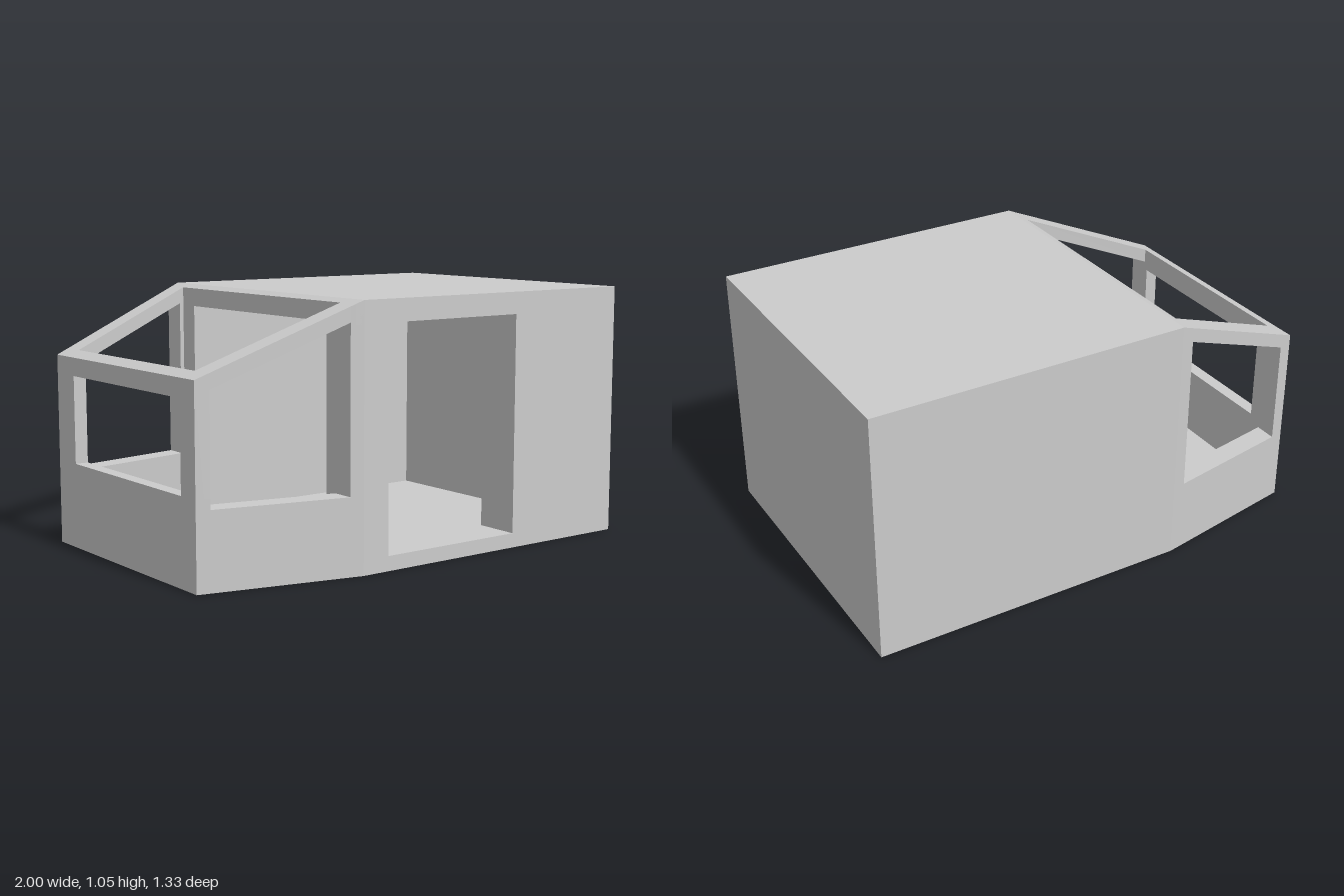
import * as THREE from 'three';
import { ConvexGeometry } from 'three/addons/geometries/ConvexGeometry.js';

const BEND = -0.345; // where the straight cabin turns into the tapered nose
const taper = (full, end) => (x) => x >= BEND ? full : THREE.MathUtils.mapLinear(x, BEND, -1, full, end);
const top = taper(1.05, 0.785);
const front = taper(0.665, 0.52);
const back = taper(-0.665, -0.54);
const frontIn = (x) => front(x) - 0.095;
const backIn = (x) => back(x) + 0.095;
const beam = (x) => top(x) - 0.06;

export function createModel() {
  const model = new THREE.Group();
  const material = new THREE.MeshStandardMaterial({ color: 0xcccccc, flatShading: true });
  const at = (v, x) => (typeof v === 'function' ? v(x) : v);

  // Solid between x0 and x1; heights and depths may be numbers or functions of x
  function piece(name, x0, x1, lo, hi, zA, zB) {
    const xs = x0 < BEND && BEND < x1 ? [x0, BEND, x1] : [x0, x1];
    const points = [];
    for (const x of xs)
      for (const y of [lo, hi])
        for (const z of [zA, zB]) points.push(new THREE.Vector3(x, at(y, x), at(z, x)));
    const mesh = new THREE.Mesh(new ConvexGeometry(points), material);
    mesh.name = name;
    model.add(mesh);
  }

  // Cabin shell with a doorway in the front wall
  piece('cabinFloor', -0.38, 1, 0, 0.06, back, front);
  piece('cabinRoof', -0.38, 1, 0.96, top, back, front);
  piece('cabinBackWall', -0.38, 1, 0, top, back, -0.475);
  piece('cabinEndWall', 0.81, 1, 0, top, back, front);
  piece('doorPostNose', -0.38, -0.225, 0, top, 0.475, front);
  piece('doorPostCabin', 0.43, 1, 0, top, 0.475, front);
  piece('doorLintel', -0.225, 0.43, 0.965, top, 0.475, front);

  // Tapered nose: floor, and on each side a sill, a post and a sloping beam
  piece('noseFloor', -1, -0.38, 0, 0.05, back, front);
  for (const [side, outer, inner] of [['front', front, frontIn], ['back', back, backIn]]) {
    piece(side + 'WindowSill', -1, -0.38, 0, 0.31, outer, inner);
    piece(side + 'WindowPost', -0.4, -0.38, 0, top, outer, inner);
    piece(side + 'RoofBeam', -1, -0.38, beam, top, outer, inner);
  }

  // Nose end wall framing its window
  const inside = -0.945;
  piece('noseEndSill', -1, inside, 0, 0.35, back, front);
  piece('noseEndHeader', -1, inside, 0.71, top, back, front);
  piece('noseEndPostFront', -1, inside, 0, top, 0.42, front);
  piece('noseEndPostBack', -1, inside, 0, top, back, -0.4);

  return model;
}
